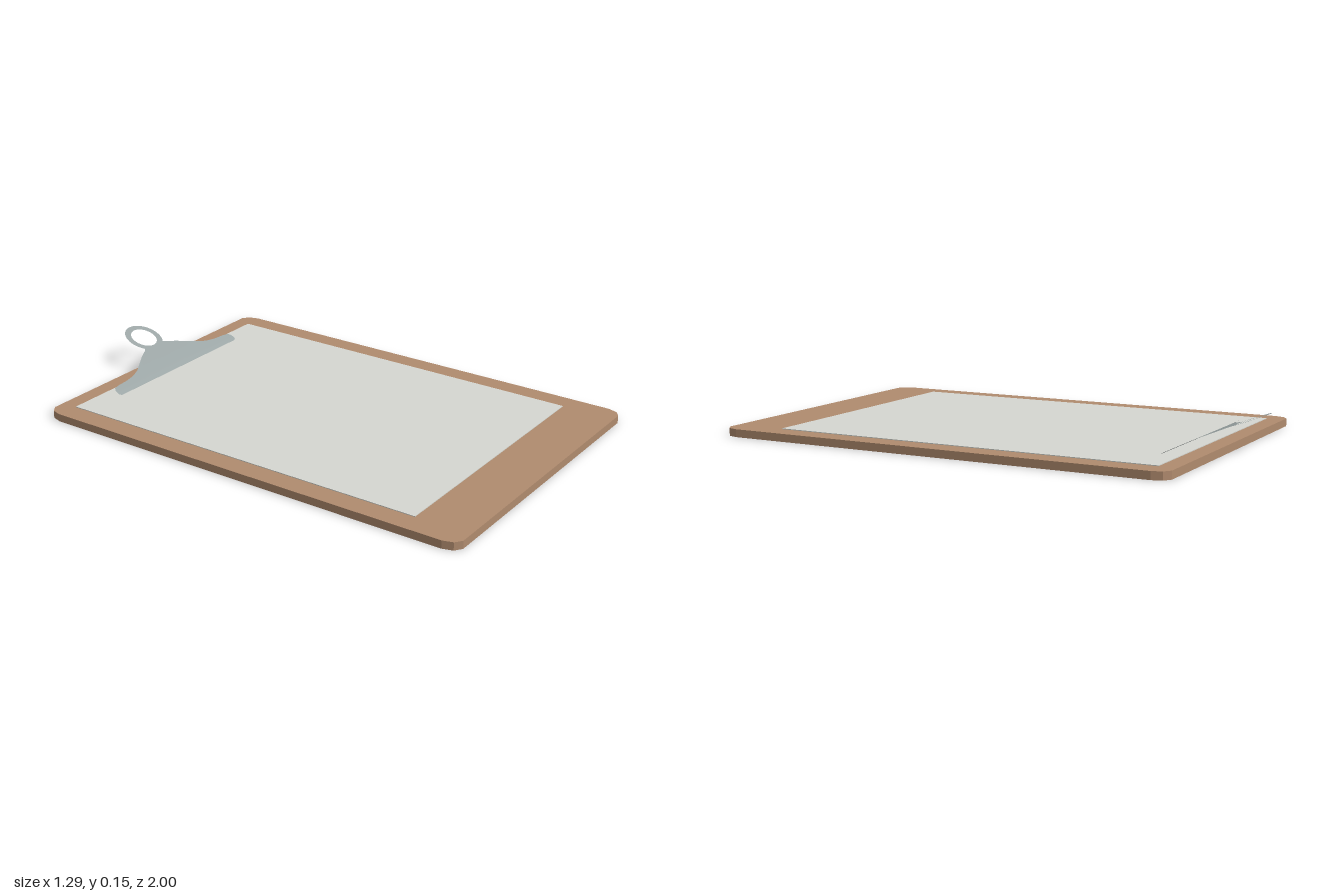
import * as THREE from 'three';

const wood = new THREE.MeshStandardMaterial({ color: 0xb08b6e });
wood.name = 'brown hardboard';
const white = new THREE.MeshStandardMaterial({ color: 0xd6d7d1 });
white.name = 'off-white paper';
const steel = new THREE.MeshStandardMaterial({ color: 0x9ba5a5, side: THREE.DoubleSide });
steel.name = 'grey steel';

const FRONT = -0.72; // z of the clip's gripping edge

// Side profile of the clip: [distance behind the gripping edge, height]
const profile = [[0, 0.034], [0.015, 0.043], [0.065, 0.067], [0.15, 0.099], [0.28, 0.148]];

// Rear outline of the clip's right half: [x, z], from the ring neck to the tip
const outline = [
  [0, -0.862], [0.054, -0.867], [0.07, -0.856], [0.11, -0.838], [0.143, -0.818],
  [0.2, -0.785], [0.24, -0.772], [0.286, -0.765], [0.34, -0.762], [0.366, -0.758], [0.376, -0.745],
];

function lerpTable(table, x) {
  for (let i = 1; i < table.length; i++) {
    const [x0, y0] = table[i - 1], [x1, y1] = table[i];
    if (x <= x1 || i === table.length - 1) return y0 + (y1 - y0) * (x - x0) / (x1 - x0);
  }
}

const clipHeight = z => lerpTable(profile, FRONT - z);

function addMesh(parent, name, geometry, material) {
  const mesh = new THREE.Mesh(geometry, material);
  mesh.name = name;
  parent.add(mesh);
  return mesh;
}

// Slab with small faceted corners
function boardGeometry() {
  const w = 0.643, h = 0.931;
  const corner = [[w, h - 0.06], [w - 0.012, h - 0.02], [w - 0.04, h]];
  const points = [];
  for (const [sx, sy] of [[1, 1], [-1, 1], [-1, -1], [1, -1]]) {
    const run = corner.map(([x, y]) => new THREE.Vector2(x * sx, y * sy));
    points.push(...(sx * sy > 0 ? run : run.reverse()));
  }
  return new THREE.ExtrudeGeometry(new THREE.Shape(points), { depth: 0.031, bevelEnabled: false })
    .rotateX(-Math.PI / 2).translate(0, 0, 0.069);
}

// Curved sheet between the straight gripping edge and the rear outline
function clipBodyGeometry() {
  const n = outline.length - 1;
  const geo = new THREE.PlaneGeometry(1, 1, 2 * n, 14);
  const { position, uv } = geo.attributes;
  for (let i = 0; i < position.count; i++) {
    const k = Math.round(uv.getX(i) * 2 * n) - n;
    const [x, back] = outline[Math.abs(k)];
    const front = Math.abs(k) === n ? FRONT - 0.006 : FRONT;
    const z = front + (back - front) * uv.getY(i);
    position.setXYZ(i, Math.sign(k) * x, clipHeight(z), z);
  }
  geo.computeVertexNormals();
  return geo;
}

// Hanging ring, following the same slope as the body
function clipRingGeometry() {
  const geo = new THREE.RingGeometry(0.054, 0.079, 40, 2).rotateX(-Math.PI / 2).translate(0, 0, -0.921);
  const p = geo.attributes.position;
  for (let i = 0; i < p.count; i++) p.setY(i, clipHeight(p.getZ(i)));
  geo.computeVertexNormals();
  return geo;
}

export function createModel() {
  const model = new THREE.Group();
  model.name = 'clipboard';

  addMesh(model, 'board', boardGeometry(), wood);

  // Sheet of paper
  addMesh(model, 'paper', new THREE.BoxGeometry(1.114, 0.003, 1.576), white)
    .position.set(0, 0.0325, -0.005);

  // Spring clip
  const clip = new THREE.Group();
  clip.name = 'clip';
  addMesh(clip, 'clipBody', clipBodyGeometry(), steel);
  addMesh(clip, 'clipRing', clipRingGeometry(), steel);
  model.add(clip);

  return model;
}
